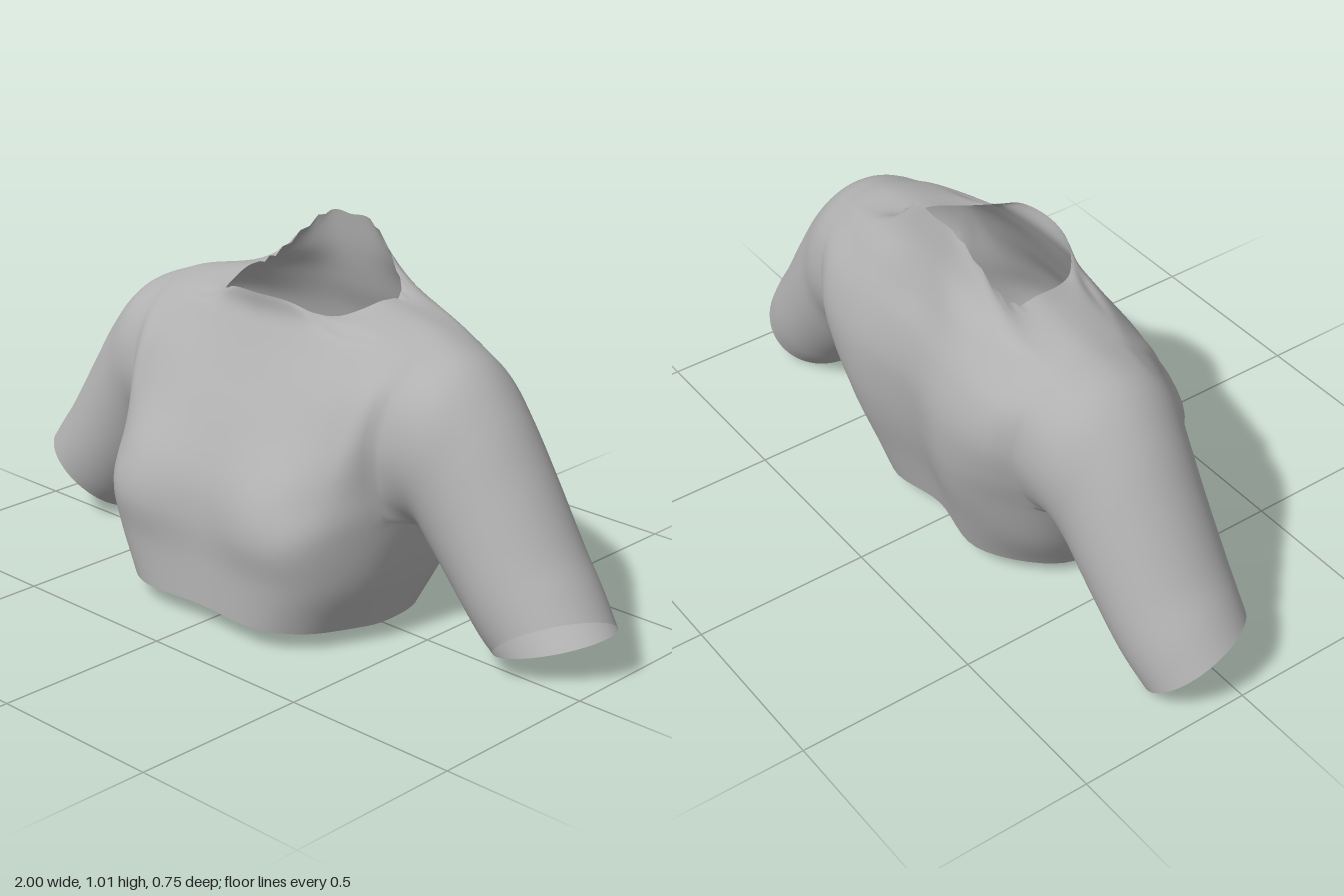
import * as THREE from 'three';
import { mergeVertices } from 'three/addons/utils/BufferGeometryUtils.js';

const S = 6; // subdivisions per control span
const V = (a) => new THREE.Vector3(...a);

// Pattern lines of the bodice half, each running from hem to collar.
// Rows: hem, waist, armpit, bust top, chest, upper chest, shoulder, collar base, collar edge
const ARMPIT = 2, SHOULDER = 6, FRONT_EDGE = 3, SIDE = 4, BACK_EDGE = 5;
const centreFront = [[0, .064, .347], [0, .19, .345], [0, .31, .346], [0, .42, .325], [0, .56, .26], [0, .68, .193], [0, .77, .146], [0, .825, .122], [0, .875, .124]];
const bust = [[.2, .06, .35], [.22, .19, .358], [.22, .31, .375], [.22, .42, .345], [.22, .56, .258], [.22, .68, .187], [.21, .775, .125], [.15, .825, .105], [.095, .87, .11]];
const outerBust = [[.315, .058, .285], [.35, .19, .305], [.36, .325, .32], [.355, .44, .28], [.355, .57, .22], [.355, .69, .157], [.34, .785, .08], [.235, .812, .07], [.16, .845, .078]];
const frontEdge = [[.367, .05, .17], [.42, .19, .175], [.452, .365, .135], [.445, .46, .153], [.442, .58, .158], [.45, .7, .115], [.455, .78, .025], [.31, .823, .02], [.207, .836, .025]];
const side = [[.392, .042, .04], [.435, .19, .01], [.468, .345, -.05], [.5, .42, -.06], [.52, .58, -.07], [.57, .755, -.08], [.46, .812, -.09], [.335, .842, -.09], [.24, .857, -.08]];
const backEdge = [[.36, .045, -.12], [.405, .19, -.19], [.428, .36, -.245], [.425, .46, -.29], [.43, .58, -.313], [.45, .7, -.285], [.455, .785, -.205], [.325, .835, -.2], [.232, .872, -.178]];
const blade = [[.2, .06, -.258], [.21, .19, -.3], [.22, .33, -.345], [.22, .45, -.37], [.22, .58, -.374], [.22, .7, -.345], [.205, .805, -.295], [.135, .9, -.25], [.09, 1.008, -.226]];
const spine = [[0, .07, -.24], [0, .19, -.272], [0, .33, -.312], [0, .45, -.335], [0, .58, -.345], [0, .7, -.325], [0, .8, -.285], [0, .91, -.252], [0, 1.018, -.232]];
const columns = [centreFront, bust, outerBust, frontEdge, side, backEdge, blade, spine].map((c) => c.map(V));

// Sleeve rings: outer x,y, inner x,y, front z, back z, hem slant
const sleeveRings = [
  [.585, .757, .49, .305, .133, -.29, 0],
  [.685, .658, .525, .252, .115, -.268, 0],
  [.775, .527, .575, .19, .107, -.258, 0],
  [.88, .362, .645, .115, .104, -.245, .01],
  [.945, .275, .695, .06, .1, -.232, .03],
  [.998, .2, .748, .016, .096, -.212, .055],
];

const mirrored = (v) => new THREE.Vector3(-v.x, v.y, v.z);
const extend = (a, b) => a.clone().multiplyScalar(2).sub(b);

// Resample a row of points with a smooth curve between given end neighbours
function smooth(points, before, after) {
  const p = [before, ...points, after], out = [];
  for (let i = 1; i < p.length - 2; i++) {
    for (let k = 0; k < S; k++) {
      const t = k / S, t2 = t * t, t3 = t2 * t;
      const w = [-t + 2 * t2 - t3, 2 - 5 * t2 + 3 * t3, t + 4 * t2 - 3 * t3, t3 - t2];
      const q = new THREE.Vector3();
      w.forEach((f, n) => q.addScaledVector(p[i - 1 + n], f / 2));
      out.push(q);
    }
  }
  out.push(points[points.length - 1].clone());
  return out;
}
const smoothOpen = (p) => smooth(p, extend(p[0], p[1]), extend(p[p.length - 1], p[p.length - 2]));

// Half bodice as grid[column][row]
function bodiceGrid() {
  const lines = columns.map(smoothOpen);
  const grid = Array.from({ length: (columns.length - 1) * S + 1 }, () => []);
  for (let r = 0; r < lines[0].length; r++) {
    const row = lines.map((l) => l[r]);
    smooth(row, mirrored(row[1]), mirrored(row[row.length - 2])).forEach((p, c) => { grid[c][r] = p; });
  }
  // Ragged collar edge towards the back
  const top = lines[0].length - 1;
  for (let c = BACK_EDGE * S - 2; c < grid.length - S; c++) grid[c][top].y += c % 2 ? .006 : -.006;
  return grid;
}

// Loop round the armhole: shoulder, front, armpit, back
function armholeLoop(grid) {
  const loop = [], a = FRONT_EDGE * S, b = BACK_EDGE * S, lo = ARMPIT * S, hi = SHOULDER * S;
  for (let c = SIDE * S; c > a; c--) loop.push(grid[c][hi]);
  for (let r = hi; r > lo; r--) loop.push(grid[a][r]);
  for (let c = a; c < b; c++) loop.push(grid[c][lo]);
  for (let r = lo; r < hi; r++) loop.push(grid[b][r]);
  for (let c = b; c >= SIDE * S; c--) loop.push(grid[c][hi]);
  return loop;
}

// Sleeve as grid[around][along], starting on the armhole
function sleeveGrid(loop) {
  return loop.map((start, i) => {
    const a = (i / (loop.length - 1)) * Math.PI * 2, c = Math.cos(a), s = Math.sin(a);
    const path = sleeveRings.map(([ox, oy, ix, iy, zf, zb, slant]) => new THREE.Vector3(
      (ox + ix) / 2 + c * (ox - ix) / 2 - s * slant * .6,
      (oy + iy) / 2 + c * (oy - iy) / 2 + s * slant * .75,
      (zf + zb) / 2 + s * (zf - zb) / 2));
    return smoothOpen([start, ...path]);
  });
}

// Triangles of a grid, optionally mirrored, leaving out skipped cells
function addGrid(out, grid, flip, skip = () => false) {
  const put = (p) => out.push(flip ? -p.x : p.x, p.y, p.z);
  for (let u = 0; u < grid.length - 1; u++) {
    for (let v = 0; v < grid[0].length - 1; v++) {
      if (skip(u, v)) continue;
      const a = grid[u][v], b = grid[u + 1][v], c = grid[u + 1][v + 1], d = grid[u][v + 1];
      (flip ? [a, c, b, a, d, c] : [a, b, c, a, c, d]).forEach(put);
    }
  }
}

export function createModel() {
  const group = new THREE.Group();
  group.name = 'croppedTop';
  const cloth = new THREE.MeshStandardMaterial({ color: 0xb2b2b2, side: THREE.DoubleSide });
  cloth.name = 'greyCloth';

  const body = bodiceGrid();
  const sleeve = sleeveGrid(armholeLoop(body));
  const inArmhole = (u, v) => u >= FRONT_EDGE * S && u < BACK_EDGE * S && v >= ARMPIT * S && v < SHOULDER * S;

  const positions = [], ends = [];
  const close = () => ends.push(positions.length / 3);
  addGrid(positions, body, false, inArmhole);
  addGrid(positions, body, true, inArmhole);
  close();
  addGrid(positions, sleeve, false);
  close();
  addGrid(positions, sleeve, true);
  close();

  // Weld everything so the shading runs smoothly across the seams
  let skin = new THREE.BufferGeometry();
  skin.setAttribute('position', new THREE.Float32BufferAttribute(positions, 3));
  skin = mergeVertices(skin, 1e-4);
  skin.computeVertexNormals();

  const index = Array.from(skin.index.array);
  ['bodice', 'leftSleeve', 'rightSleeve'].forEach((name, i) => {
    const part = new THREE.BufferGeometry();
    part.setAttribute('position', skin.attributes.position);
    part.setAttribute('normal', skin.attributes.normal);
    part.setIndex(index.slice(i ? ends[i - 1] : 0, ends[i]));
    const mesh = new THREE.Mesh(part, cloth);
    mesh.name = name;
    group.add(mesh);
  });
  return group;
}
